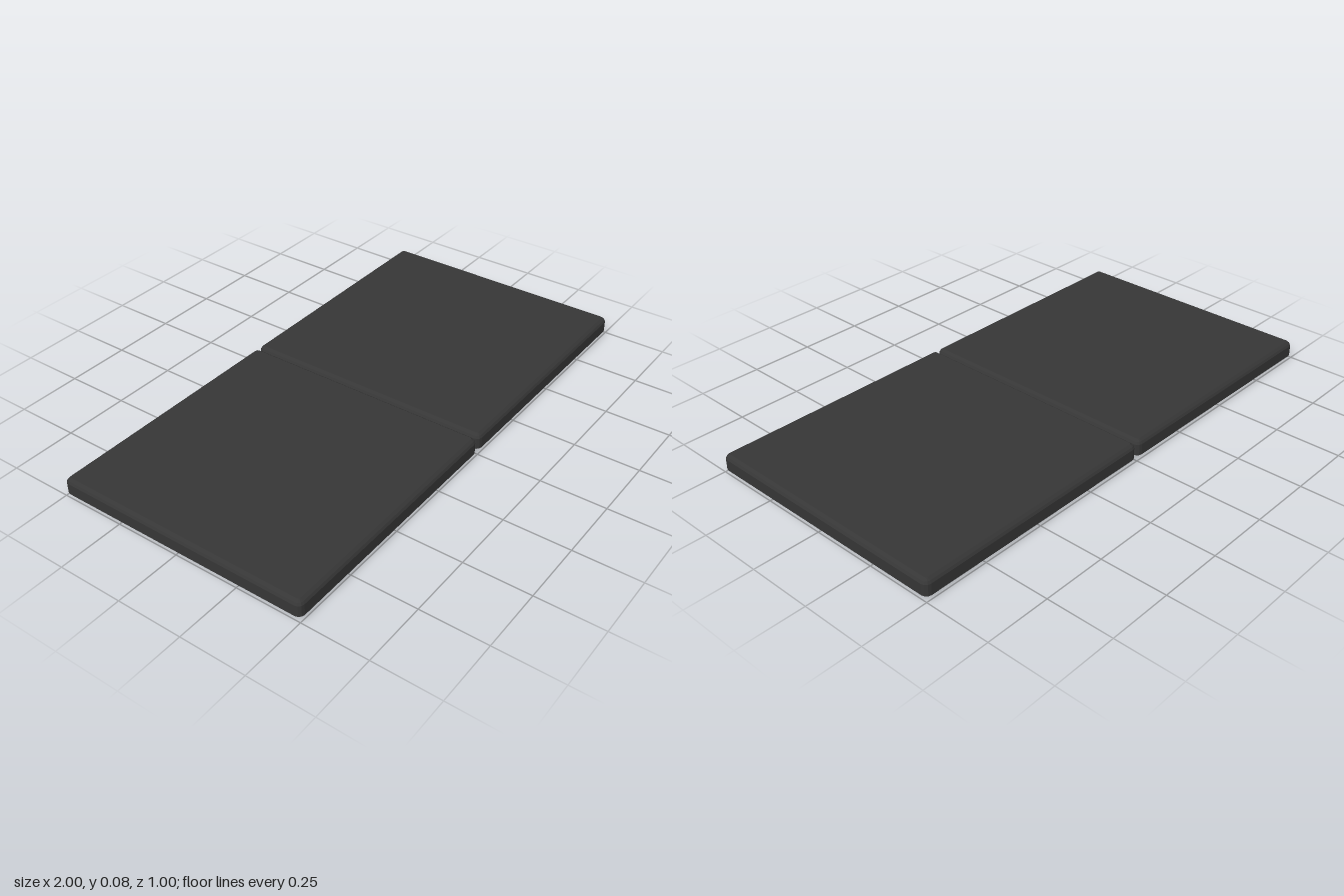
import * as THREE from 'three';

const shellMat = new THREE.MeshStandardMaterial({ color: 0x363636, flatShading: true });
const metalMat = new THREE.MeshStandardMaterial({ color: 0x2c2c2c });

// Rounded rectangle loop for one half of the top, shrunk by an inset
function loop(inset, y) {
  const r = Math.max(0.022 - inset, 0.004), pts = [];
  const hx = 0.498 - inset - r, hz = 0.5 - inset - r;
  [[1, 1], [-1, 1], [-1, -1], [1, -1]].forEach(([sx, sz], q) => {
    for (let k = 0; k <= 3; k++) {
      const a = (q + k / 3) * Math.PI / 2;
      pts.push([sx * hx + r * Math.cos(a), y, sz * hz + r * Math.sin(a)]);
    }
  });
  return pts;
}

// Hollow moulded panel: recess floor, rim, outer wall, bevelled top edge, top
function panelGeometry() {
  const center = y => Array.from({ length: 16 }, () => [0, y, 0]);
  const rings = [
    center(0.045), loop(0.035, 0.045), loop(0.035, 0.015), loop(0, 0.015),
    loop(0, 0.058), loop(0.005, 0.067), loop(0.015, 0.075), center(0.075),
  ];
  const pos = [];
  for (let i = 0; i < rings.length - 1; i++) {
    for (let j = 0; j < 16; j++) {
      const n = (j + 1) % 16;
      const a = rings[i][j], b = rings[i][n], c = rings[i + 1][n], d = rings[i + 1][j];
      if (i < rings.length - 2) pos.push(...a, ...d, ...c);
      else pos.push(...a, ...d, ...b);
      if (i > 0 && i < rings.length - 2) pos.push(...a, ...c, ...b);
    }
  }
  const g = new THREE.BufferGeometry();
  g.setAttribute('position', new THREE.Float32BufferAttribute(pos, 3));
  g.computeVertexNormals();
  return g;
}

// Round bar between two points given as [x, z]
function bar(name, from, to, radius = 0.012, y = 0.021) {
  const dx = to[0] - from[0], dz = to[1] - from[1];
  const g = new THREE.CylinderGeometry(radius, radius, Math.hypot(dx, dz), 10);
  g.rotateX(Math.PI / 2);
  const mesh = new THREE.Mesh(g, metalMat);
  mesh.position.set((from[0] + to[0]) / 2, y, (from[1] + to[1]) / 2);
  mesh.rotation.y = Math.atan2(dx, dz);
  mesh.name = name;
  return mesh;
}

// Leg frame folded flat into the recess
function foldedLegs() {
  const g = new THREE.Group();
  g.name = 'foldedLegs';
  for (const s of [1, -1]) g.add(bar('legTube', [0.06, s * 0.442], [0.955, s * 0.442]));
  g.add(bar('footBar', [0.065, -0.442], [0.065, 0.442]));
  g.add(bar('pivotBar', [0.945, -0.442], [0.945, 0.442]));
  g.add(bar('crossBar', [0.425, -0.442], [0.425, 0.442]));
  g.add(bar('diagonalBrace', [0.79, 0.442], [0.54, -0.442]));
  return g;
}

export function createModel() {
  const model = new THREE.Group();
  model.name = 'foldingTable';
  const geometry = panelGeometry();

  // Two halves, the second turned half a circle with its legs set deeper
  for (const s of [1, -1]) {
    const half = new THREE.Group();
    half.name = s > 0 ? 'leftHalf' : 'rightHalf';
    const panel = new THREE.Mesh(geometry, shellMat);
    panel.name = 'tabletop';
    panel.position.x = 0.502;
    const legs = foldedLegs();
    if (s < 0) legs.position.y = 0.007;
    half.add(panel, legs);
    if (s < 0) half.rotation.y = Math.PI;
    model.add(half);
  }

  // Hinges under the seam
  for (const s of [1, -1]) {
    model.add(bar('hinge', [0, s * 0.25], [0, s * 0.35], 0.0125, 0.0125));
  }

  // Strip closing the seam below the bevels
  const seam = new THREE.Mesh(new THREE.BoxGeometry(0.006, 0.04, 0.95), shellMat);
  seam.name = 'seam';
  seam.position.y = 0.037;
  model.add(seam);
  return model;
}
